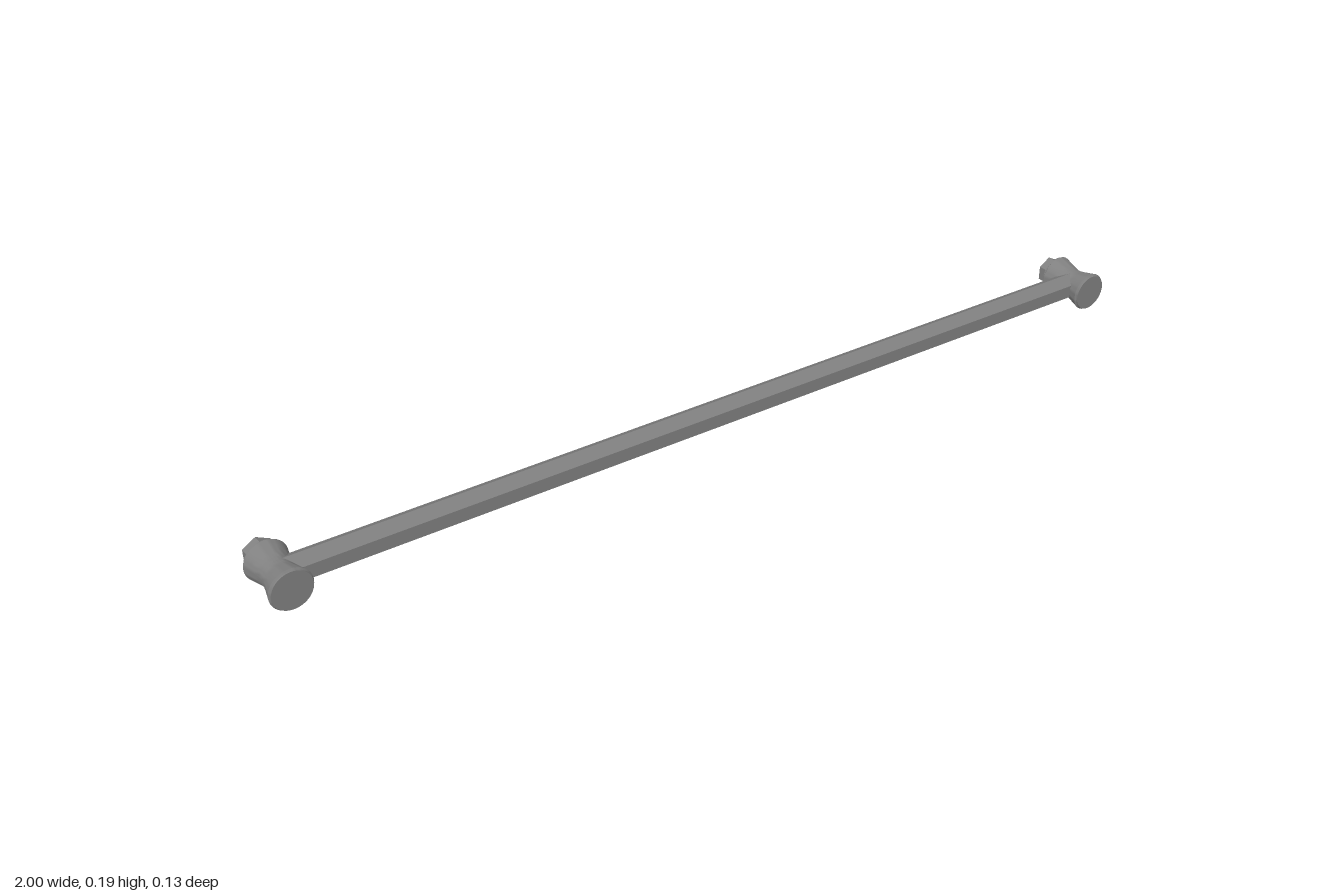
import * as THREE from 'three';
import { toCreasedNormals } from 'three/addons/utils/BufferGeometryUtils.js';

export function createModel() {
  const model = new THREE.Group();
  model.name = 'linkRod';
  const smooth = new THREE.MeshStandardMaterial({ color: 0x808080 });
  const faceted = new THREE.MeshStandardMaterial({ color: 0x808080, flatShading: true });

  const add = (parent, name, geometry, material, y = 0, z = 0) => {
    const mesh = new THREE.Mesh(geometry, material);
    mesh.name = name;
    mesh.position.set(0, y, z);
    parent.add(mesh);
    return mesh;
  };

  // Waisted bushing with thin end plates, axis along z
  const profile = [
    [0, -0.053], [0.039, -0.053], [0.039, -0.05], [0.042, -0.0475],
    [0.0374, -0.031], [0.0342, -0.019], [0.0318, -0.009], [0.031, 0],
    [0.0318, 0.009], [0.0342, 0.019], [0.0374, 0.031], [0.042, 0.0475],
    [0.039, 0.05], [0.039, 0.053], [0, 0.053],
  ].map(([r, h]) => new THREE.Vector2(r, h));
  const bushing = toCreasedNormals(
    new THREE.LatheGeometry(profile, 40).rotateX(Math.PI / 2), 0.35);

  // Hexagonal bolt head with a corner pointing up, just clear of the bushing
  const head = new THREE.CylinderGeometry(0.0305, 0.0305, 0.024, 6).rotateX(Math.PI / 2);

  const ends = [
    { name: 'rightEnd', x: -0.958, y: 0.1515, z: 0.014, headY: -0.001 },
    { name: 'leftEnd', x: 0.958, y: 0.042, z: 0.0095, headY: 0 },
  ];
  for (const { name, x, y, z, headY } of ends) {
    const end = new THREE.Group();
    end.name = name;
    end.position.set(x, y, 0);
    add(end, 'bushing', bushing, smooth, 0, z);
    add(end, 'boltHead', head, faceted, headY, -0.055);
    model.add(end);
  }

  // Hexagonal bar between the bushing centres, one edge on top
  const a = new THREE.Vector3(ends[0].x, 0.1525, 0.0125);
  const b = new THREE.Vector3(ends[1].x, 0.0415, 0.0105);
  const bar = add(model, 'bar', new THREE.CylinderGeometry(
    0.0285, 0.0285, a.distanceTo(b), 6, 1, false, Math.PI / 2), faceted);
  bar.position.copy(a).lerp(b, 0.5);
  bar.quaternion.setFromUnitVectors(new THREE.Vector3(0, 1, 0), b.clone().sub(a).normalize());

  return model;
}
